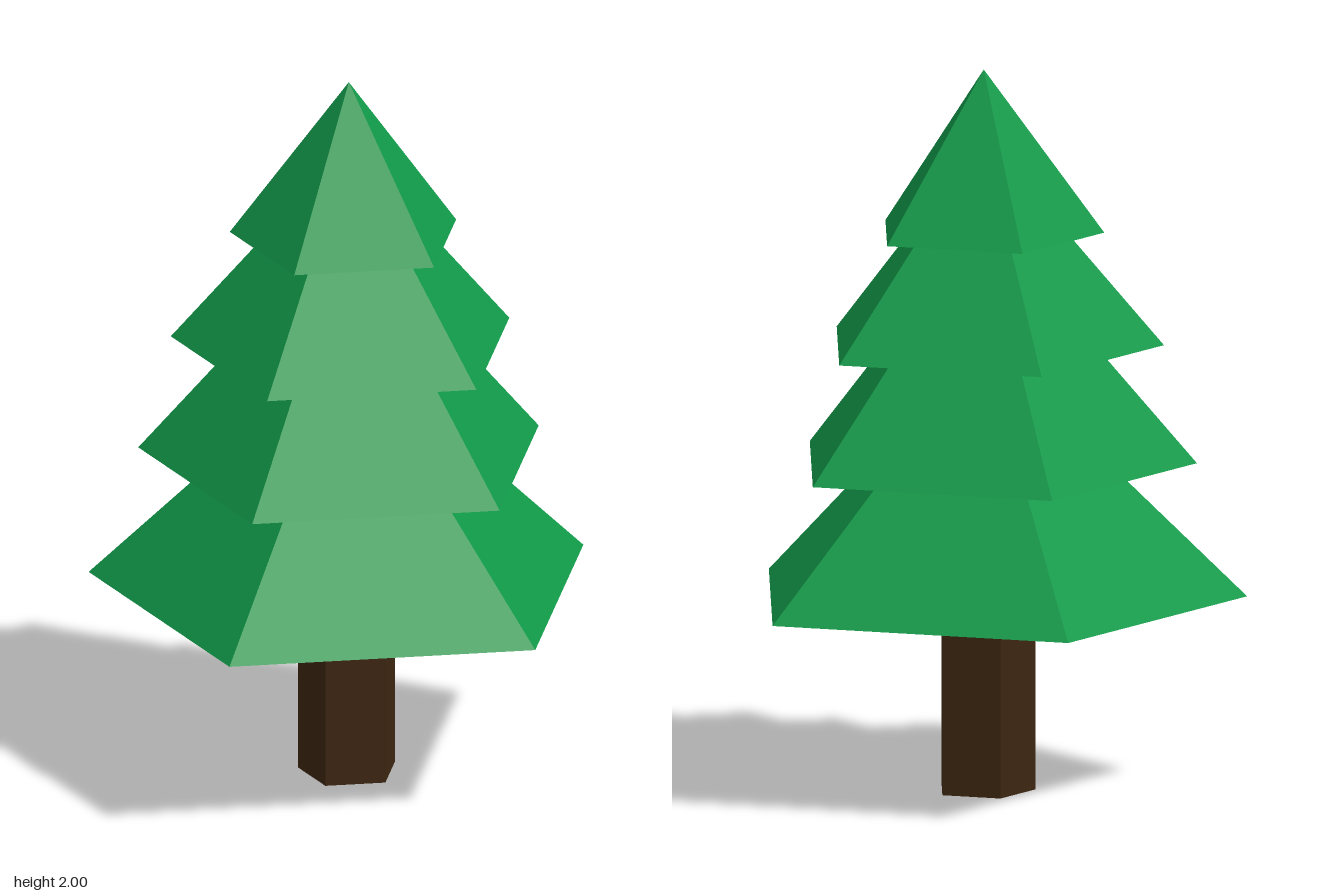
import * as THREE from 'three';

const SIDES = 5;
const TURN = THREE.MathUtils.degToRad(9);

export function createModel() {
  const tree = new THREE.Group();
  tree.name = 'pineTree';

  const needles = new THREE.MeshStandardMaterial({ color: 0x119949, flatShading: true });
  needles.name = 'needleGreen';
  const bark = new THREE.MeshStandardMaterial({ color: 0x3d2611, flatShading: true });
  bark.name = 'barkBrown';

  // Five-sided prism or cone standing on y = base, on the shared trunk axis
  function addPart(name, topRadius, radius, base, top, material) {
    const geometry = new THREE.CylinderGeometry(
      topRadius, radius, top - base, SIDES, 1, false, TURN, Math.PI * 2);
    const mesh = new THREE.Mesh(geometry, material);
    mesh.name = name;
    mesh.position.set(-0.035, (base + top) / 2, -0.035);
    tree.add(mesh);
  }

  // Trunk
  addPart('trunk', 0.141, 0.141, 0, 0.56, bark);

  // Foliage tiers, widest at the bottom: radius, base height, tip height
  const tiers = [
    [0.719, 0.535, 1.24],
    [0.582, 0.905, 1.59],
    [0.492, 1.233, 1.815],
    [0.329, 1.546, 2],
  ];
  tiers.forEach(([radius, base, tip], i) =>
    addPart(`foliageTier${i + 1}`, 0, radius, base, tip, needles));

  return tree;
}
